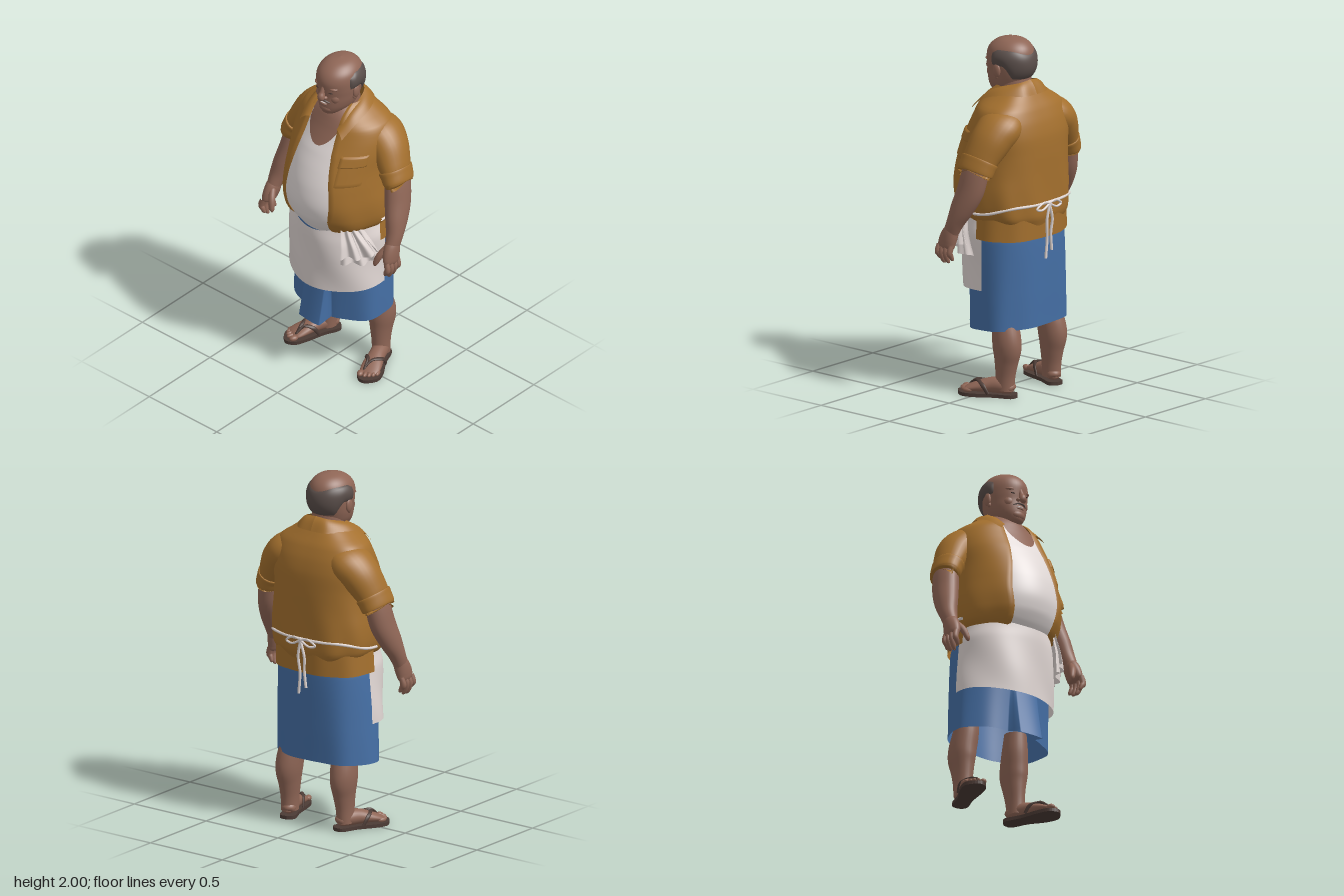
import * as THREE from 'three';

const mat = (name, color, side = THREE.FrontSide) => {
  const m = new THREE.MeshStandardMaterial({ color, side });
  m.name = name;
  return m;
};
const V = (x, y, z) => new THREE.Vector3(x, y, z);
const clamp = THREE.MathUtils.clamp, smooth = THREE.MathUtils.smoothstep, lerp = THREE.MathUtils.lerp;

// Smoothly interpolated row of a table at a fractional index
function rowI(T, f) {
  const i = clamp(Math.floor(f), 0, T.length - 2), t = f - i;
  const r = k => T[clamp(i + k, 0, T.length - 1)];
  return T[0].map((_, c) => {
    const p0 = r(-1)[c], p1 = r(0)[c], p2 = r(1)[c], p3 = r(2)[c];
    return p1 + 0.5 * t * (p2 - p0 + t * (2 * p0 - 5 * p1 + 4 * p2 - p3 + t * (3 * (p1 - p2) + p3 - p0)));
  });
}
function rowAt(T, y) {
  y = clamp(y, T[0][0], T[T.length - 1][0]);
  let i = 0;
  while (i < T.length - 2 && y > T[i + 1][0]) i++;
  return rowI(T, i + (y - T[i][0]) / (T[i + 1][0] - T[i][0]));
}
// Point on an oval section [y, half width, front z, back z, middle z]; angle 0 is the front, n squares off the back
function oval([, rx, zf, zb, cz], y, a, o = 0, n = 2.6) {
  const s = Math.sin(a), c = Math.cos(a);
  if (c > 0) return V((rx + o) * s, y, cz + c * (zf + o - cz));
  return V((rx + o) * Math.sign(s) * Math.abs(s) ** (2 / n), y, cz - (-c) ** (2 / n) * (cz - zb + o));
}
// Grid surface from a rule p(u, v)
function grid(p, nu, nv, closed = false) {
  const pos = [], idx = [], cols = closed ? nu : nu + 1;
  for (let j = 0; j <= nv; j++)
    for (let i = 0; i < cols; i++) pos.push(...p(i / nu, j / nv).toArray());
  for (let j = 0; j < nv; j++)
    for (let i = 0; i < nu; i++) {
      const k = (i + 1) % cols, a = j * cols + i, b = j * cols + k;
      idx.push(a, b, b + cols, a, b + cols, a + cols);
    }
  const g = new THREE.BufferGeometry();
  g.setAttribute('position', new THREE.Float32BufferAttribute(pos, 3));
  g.setIndex(idx);
  g.computeVertexNormals();
  return g;
}
// Oval tube along rows [x, y, z, radius u, radius v]
function sweep(rows, up = V(0, 0, 1), nu = 28, nv = rows.length * 5) {
  const n = rows.length - 1;
  return grid((u, v) => {
    const r = rowI(rows, v * n), a = u * Math.PI * 2;
    const q0 = rowI(rows, Math.max(0, v * n - 0.05)), q1 = rowI(rows, Math.min(n, v * n + 0.05));
    const t = V(q1[0] - q0[0], q1[1] - q0[1], q1[2] - q0[2]).normalize();
    const w = up.clone().addScaledVector(t, -up.dot(t)).normalize();
    return V(r[0], r[1], r[2]).addScaledVector(t.clone().cross(w), r[3] * Math.sin(a)).addScaledVector(w, r[4] * Math.cos(a));
  }, nu, nv, true);
}
function mirror(g) {
  const m = g.clone().scale(-1, 1, 1), ix = m.index.array;
  for (let i = 0; i < ix.length; i += 3) [ix[i], ix[i + 1]] = [ix[i + 1], ix[i]];
  m.computeVertexNormals();
  return m;
}
const ball = (x, y, z, a, b, c) => new THREE.SphereGeometry(1, 24, 16).scale(a, b, c).translate(x, y, z);
const curve = pts => new THREE.CatmullRomCurve3(pts.map(p => V(...p)));
const rope = (pts, r, n = 40) => new THREE.TubeGeometry(curve(pts), n, r, 8);

const BODY = [
  [0.97, .245, .215, -.262, -.03], [1.02, .285, .25, -.278, -.03], [1.08, .300, .282, -.280, -.03],
  [1.17, .302, .298, -.280, -.03], [1.28, .292, .283, -.280, -.03], [1.38, .285, .248, -.280, -.04],
  [1.48, .287, .20, -.275, -.06], [1.56, .278, .155, -.257, -.075], [1.63, .250, .122, -.228, -.08],
  [1.68, .178, .10, -.195, -.075], [1.74, .105, .06, -.16, -.06]];
const HEAD = [
  [1.672, .001, .05, .048, .049], [1.678, .035, .09, -.02, .035], [1.695, .064, .115, -.075, .01], [1.73, .093, .124, -.11, -.005],
  [1.77, .108, .125, -.13, -.01], [1.81, .115, .124, -.148, -.015], [1.85, .119, .128, -.156, -.015],
  [1.90, .119, .130, -.156, -.015], [1.94, .109, .114, -.146, -.015], [1.97, .086, .083, -.122, -.02],
  [1.99, .053, .04, -.085, -.022], [2.0, .001, -.021, -.023, -.022]];
const SKIRT = [
  [0.35, .302, .155, -.255, -.03], [0.6, .296, .165, -.262, -.03], [0.9, .283, .19, -.266, -.03], [1.0, .255, .19, -.255, -.03]];
const APRON = [
  [0.58, .306, .228, -.26, -.03], [0.75, .300, .236, -.26, -.03], [0.92, .294, .240, -.27, -.03],
  [1.0, .274, .236, -.27, -.03], [1.06, .268, .232, -.27, -.03]];
const EDGE = [[0.97, .12], [1.05, .13], [1.2, .152], [1.4, .122], [1.55, .10], [1.74, .092]];

export function createModel() {
  const root = new THREE.Group();
  root.name = 'standingMan';
  const DS = THREE.DoubleSide;
  const skin = mat('skin', 0x8f6656), shirtM = mat('ochre shirt', 0xa4702e, DS), tankM = mat('white undershirt', 0xe4dcda, DS);
  const apronM = mat('off-white apron', 0xe0d6d3, DS), blue = mat('blue skirt', 0x456fa5, DS);
  const hairM = mat('grey hair', 0x5a4e4a, DS), sandalM = mat('dark sandal', 0x4c3b35), dark = mat('dark eyes', 0x3a2c28);
  const add = (name, g, m) => {
    const o = new THREE.Mesh(g, m);
    o.name = name;
    root.add(o);
  };
  const pair = (name, g, m) => { add(name + 'Left', g, m); add(name + 'Right', mirror(g), m); };

  // Head, neck and chest
  add('head', grid((u, v) => { const r = rowI(HEAD, v * 11); return oval(r, r[0], u * Math.PI * 2, 0, 2); }, 48, 55, true), skin);
  add('neck', sweep([[0, 1.55, -.05, .1, .1], [0, 1.66, -.045, .096, .1], [0, 1.8, -.035, .092, .095]]), skin);
  add('chest', grid((u, v) => { const y = lerp(1.42, 1.74, v); return oval(rowAt(BODY, y), y, lerp(-1.1, 1.1, u), -.009); }, 32, 20), skin);

  // Face
  add('nose', sweep([[0, 1.885, .116, .008, .008], [0, 1.86, .122, .012, .014], [0, 1.835, .131, .015, .017],
    [0, 1.815, .139, .021, .022], [0, 1.8, .137, .02, .018], [0, 1.794, .13, .002, .002]]), skin);
  add('chin', ball(0, 1.725, .098, .045, .03, .029), skin);
  add('lowerLip', ball(0, 1.757, .118, .028, .007, .012), skin);
  add('teeth', ball(0, 1.767, .121, .024, .004, .008), tankM);
  pair('nostril', ball(.019, 1.806, .126, .012, .011, .014), skin);
  pair('cheek', ball(.047, 1.797, .075, .036, .038, .036), skin);
  pair('brow', ball(.046, 1.868, .092, .036, .012, .028), skin);
  pair('eye', ball(.045, 1.843, .113, .015, .003, .008), dark);
  pair('moustache', sweep([[0, 1.785, .125, .004, .008], [.02, 1.784, .124, .004, .007], [.04, 1.775, .114, .003, .004], [.044, 1.771, .111, .0005, .0005]], V(0, 0, 1), 12), hairM);
  pair('ear', ball(.121, 1.825, -.015, .013, .038, .025), skin);
  pair('earLobe', ball(.116, 1.792, -.007, .010, .014, .012), skin);

  // Ring of hair round the sides and back
  add('hair', grid((u, v) => {
    const a = lerp(1.25, Math.PI * 2 - 1.25, u), d = Math.abs(a - Math.PI);
    const lo = lerp(1.775, 1.85, smooth(d, .75, 1.35)), hi = 1.92 + .024 * smooth(d, 0, 1.0) - .02 * smooth(d, 1.5, 1.9);
    const y = lerp(lo, hi, v), rim = Math.sqrt(Math.max(0, Math.sin(Math.PI * v) * Math.min(1, Math.sin(Math.PI * u) * 5)));
    return oval(rowAt(HEAD, y), y, a, -.003 + .017 * rim, 2);
  }, 60, 18), hairM);

  // Undershirt over the belly
  add('undershirt', grid((u, v) => {
    const a = lerp(-1.1, 1.1, u), y = lerp(.97, Math.min(1.66, 1.51 + .62 * a * a), v);
    return oval(rowAt(BODY, y), y, a);
  }, 48, 40), tankM);

  // Open shirt, its tail, collar, sleeves and pocket
  const shirtPoint = (y, a, o) => oval(rowAt(BODY, y), y, a, o);
  const edgeAngle = (y, extra = 0) => Math.asin(Math.min(.95, (rowAt(EDGE, y)[1] + extra) / rowAt(BODY, y)[1]));
  add('shirt', grid((u, v) => {
    const y = lerp(.975, 1.74, v), a = lerp(edgeAngle(y), Math.PI * 2 - edgeAngle(y, .012), u);
    return shirtPoint(y, a, .011 + .004 * Math.sin(a * 9 + y * 6) * (1 - smooth(y, 1.0, 1.4)) - .012 * (u === 0 || u === 1));
  }, 90, 50), shirtM);
  add('shirtTail', grid((u, v) => {
    const a = lerp(1.52, Math.PI * 2 - 1.52, u), y = lerp(.90, 1.1, v);
    return oval([0, lerp(.3, .288, v), .2, lerp(-.277, -.284, v), -.03], y, a, .003 * Math.sin(a * 8));
  }, 60, 8), shirtM);
  const inner = curve([[0, 1.775, -.155], [.07, 1.765, -.138], [.107, 1.74, -.05], [.11, 1.70, .04], [.098, 1.625, .122]]);
  const outer = curve([[0, 1.70, -.205], [.1, 1.70, -.188], [.17, 1.70, -.075], [.176, 1.662, .045], [.155, 1.59, .143]]);
  pair('collar', grid((u, v) => {
    const p = outer.getPoint(u).lerp(inner.getPoint(u), v);
    p.y += .012 * Math.sin(Math.PI * v);
    return p;
  }, 30, 8), shirtM);
  const tilt = V(.2, 0, 1);
  pair('sleeve', sweep([[.12, 1.59, -.12, .06, .09], [.205, 1.545, -.125, .098, .13], [.272, 1.485, -.115, .1, .122],
    [.328, 1.40, -.094, .085, .108], [.366, 1.333, -.082, .066, .097]], tilt), shirtM);
  pair('cuff', sweep([[.343, 1.372, -.088, .07, .095], [.343, 1.372, -.088, .084, .111], [.358, 1.345, -.085, .080, .110],
    [.376, 1.308, -.08, .073, .107], [.377, 1.306, -.08, .06, .092]], tilt), shirtM);
  const patch = (y0, y1, x0, x1, o) => grid((u, v) => {
    const y = lerp(y0, y1, v), a = Math.asin(lerp(x0, x1, u) / (rowAt(BODY, y)[1] + .011));
    return shirtPoint(y, a, u % 1 && v % 1 ? o : .012);
  }, 14, 12);
  add('pocket', patch(1.32, 1.46, .168, .268, .017), shirtM);
  add('pocketFlap', patch(1.43, 1.495, .164, .272, .021), shirtM);

  // Arms and hands
  pair('arm', sweep([[.33, 1.42, -.1, .06, .08], [.368, 1.31, -.08, .062, .083], [.39, 1.2, -.058, .063, .083], [.415, 1.1, -.02, .056, .07],
    [.431, 1.02, .014, .047, .051], [.437, .96, .04, .038, .045]]), skin);
  pair('palm', sweep([[.436, .99, .025, .036, .036], [.439, .95, .045, .04, .05], [.446, .905, .06, .036, .056], [.452, .87, .065, .026, .05], [.452, .855, .066, .001, .001]]), skin);
  for (let i = 0; i < 4; i++) {
    const z = .022 + i * .029, l = [.80, .782, .78, .80][i];
    pair('finger' + (i + 1), sweep([[.456, .885, z, .017, .015], [.467, .845, z + .004, .018, .016], [.457, l + .025, z + .004, .015, .014],
      [.446, l + .003, z, .009, .009], [.445, l, z, .001, .001]], V(0, 0, 1), 12), skin);
  }
  pair('thumb', sweep([[.425, .955, .065, .02, .018], [.401, .91, .10, .02, .019], [.385, .865, .117, .016, .015], [.381, .845, .12, .009, .009], [.381, .84, .12, .001, .001]], V(0, 0, 1), 12), skin);

  // Wrapped skirt with a folded front panel
  add('skirt', grid((u, v) => {
    const a = u * Math.PI * 2, c = Math.cos(a);
    const panel = c > 0 ? 1 - smooth(Math.abs(.3 * Math.sin(a)), .078, .092) : 0;
    const y = lerp(.38 - .012 * c - .025 * panel, 1.0, v);
    const p = oval(rowAt(SKIRT, y), y, a, .004 * Math.sin(a * 7) * (1 - v));
    p.z += panel * .078 * Math.max(0, 1 - v / .55);
    p.x -= .012 * (1 - v);
    return p;
  }, 240, 30, true), blue);

  // Apron, its string and the bow behind
  add('apron', grid((u, v) => {
    const a = lerp(-1.63, 1.63, u), s = Math.sin(a) ** 2;
    const y = lerp(.582 + .025 * s, .985 + .065 * s, v);
    const p = oval(rowAt(APRON, y), y, a, .004 * Math.sin(a * 5 + y * 14));
    p.x -= .008 * (1 - v);
    return p;
  }, 70, 24), apronM);
  const ring = Array.from({ length: 25 }, (_, i) => {
    const a = lerp(1.5, Math.PI * 2 - 1.5, i / 24);
    return oval([0, .311, .23, -.293, -.03], 1.045 + .055 * smooth(-Math.cos(a), -.1, .9), a).toArray();
  });
  add('apronString', rope(ring, .008, 100), apronM);
  add('bowKnot', ball(0, 1.095, -.295, .016, .014, .01), apronM);
  pair('bowLoop', rope([[0, 1.095, -.296], [.05, 1.105, -.298], [.1, 1.075, -.293], [.06, 1.065, -.297], [0, 1.092, -.297]], .0065), apronM);
  add('bowTailLong', rope([[0, 1.09, -.297], [.018, 1.0, -.294], [.01, .9, -.288], [.02, .78, -.286]], .008), apronM);
  add('bowTailShort', rope([[0, 1.09, -.297], [-.025, 1.0, -.295], [-.02, .92, -.288], [-.03, .82, -.286]], .008), apronM);

  // Pleated cloth tucked at the waist
  [[.8, .022, 0], [.85, .04, 1.3]].forEach(([y0, o, ph], i) => add('waistCloth' + (i + 1), grid((u, v) => {
    const a = lerp(lerp(.66, .7, v), lerp(1.5, 1.12, v) - .12 * i, u), y = lerp(y0, 1.035, v);
    const p = oval(rowAt(APRON, y), y, a, o * (1 - .4 * v) + .015 * (1 - .6 * v) * Math.sin(u * 17 + ph));
    p.y += .008 * Math.sin(u * 9) * (1 - v);
    return p;
  }, 50, 14), apronM));

  // Legs, feet and sandals
  pair('leg', sweep([[.175, .52, -.12, .06, .065], [.18, .42, -.13, .070, .076], [.188, .33, -.147, .072, .086], [.19, .27, -.152, .068, .086],
    [.19, .2, -.147, .057, .072], [.192, .12, -.142, .048, .06], [.194, .04, -.14, .046, .056]]), skin);
  const place = g => g.rotateY(.4).translate(.235, 0, -.047);
  pair('foot', place(sweep([[0, .045, -.158, .005, .005], [0, .052, -.145, .036, .03], [0, .064, -.09, .046, .045], [0, .062, -.02, .046, .042],
    [0, .05, .05, .056, .03], [0, .038, .105, .055, .018], [0, .034, .125, .04, .01]], V(0, 1, 0))), skin);
  [-.043, -.014, .009, .03, .048].forEach((x, i) =>
    pair('toe' + (i + 1), place(ball(x, .034, [.132, .134, .127, .116, .1][i], i ? .012 : .018, i ? .013 : .016, .026)), skin));
  const sole = new THREE.Shape();
  sole.setFromPoints(new THREE.SplineCurve([[0, -.175], [.043, -.15], [.045, -.05], [.066, .06], [.055, .135], [-.015, .174],
    [-.06, .135], [-.062, .06], [-.045, -.05], [-.043, -.15], [0, -.175]].map(p => new THREE.Vector2(...p))).getPoints(50));
  const soleG = new THREE.ExtrudeGeometry(sole, { depth: .02, bevelEnabled: false }).rotateX(Math.PI / 2).translate(0, .02, 0);
  soleG.setIndex([...Array(soleG.attributes.position.count).keys()]);
  pair('sandalSole', place(soleG), sandalM);
  for (const s of [-1, 1])
    pair(s < 0 ? 'strapInner' : 'strapOuter', place(sweep([[-.028, .03, .118, .006, .006], [-.026, .058, .1, .008, .008], [-.026 + .03 * (s + 1) / 2, .083, .055, .007, .011],
      [s * .05, .068, .012, .006, .012], [s * .054, .02, -.02, .005, .01]], V(0, 0, 1), 12)), sandalM);

  return root;
}
